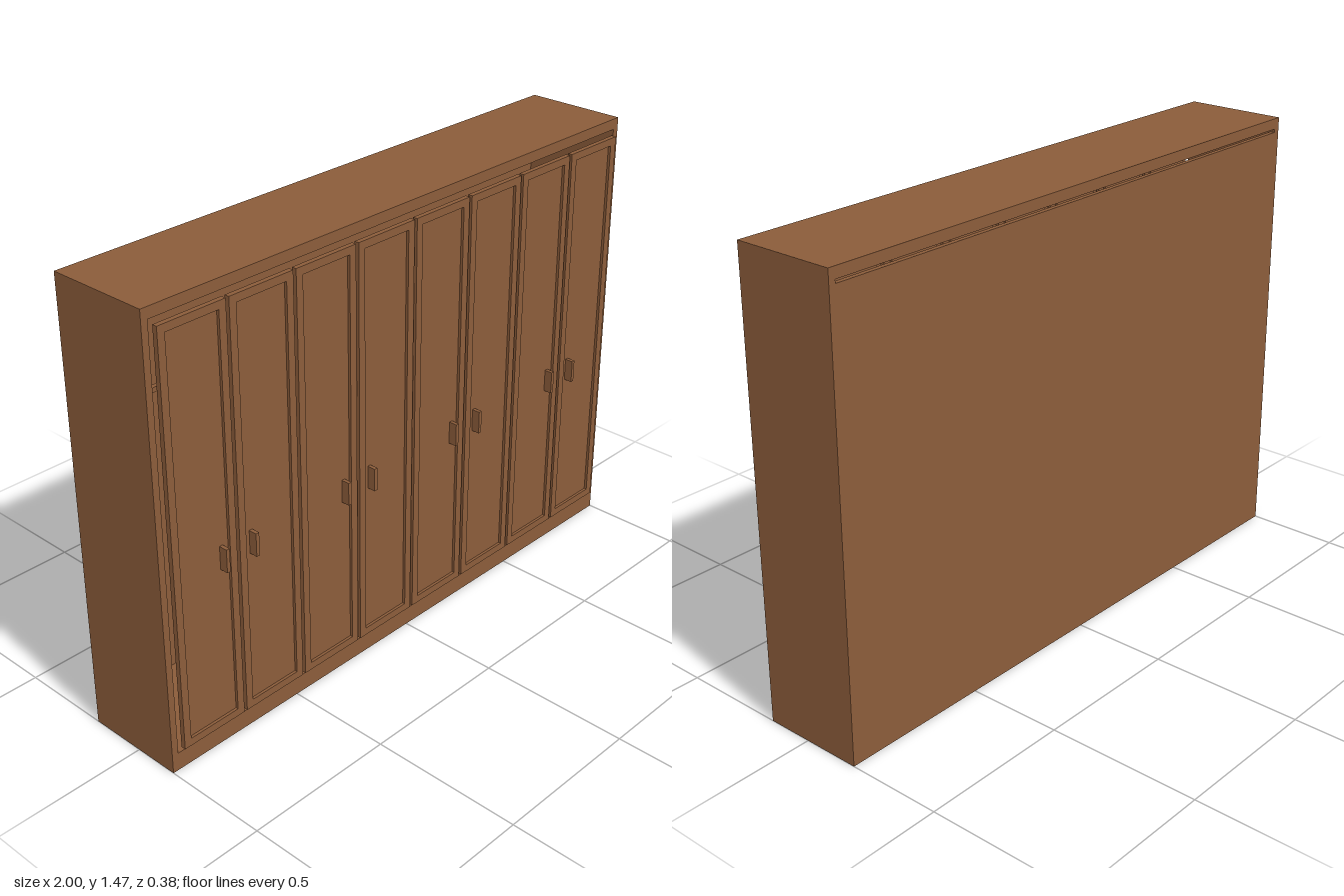
import * as THREE from 'three';

const wood = new THREE.MeshStandardMaterial({ color: 0x8b5c3a });
wood.name = 'brown wood';

function add(parent, name, geometry, x, y, z) {
  const mesh = new THREE.Mesh(geometry, wood);
  mesh.name = name;
  mesh.position.set(x, y, z);
  parent.add(mesh);
}

// Box given by its lower and upper y, and back and front z
function board(parent, name, x, width, y0, y1, z0, z1) {
  add(parent, name, new THREE.BoxGeometry(width, y1 - y0, z1 - z0), x, (y0 + y1) / 2, (z0 + z1) / 2);
}

function rectangle(path, x0, x1, y0, y1) {
  path.moveTo(x0, y0);
  path.lineTo(x1, y0);
  path.lineTo(x1, y1);
  path.lineTo(x0, y1);
  path.closePath();
  return path;
}

// Rectangular ring extruded along z
function ring(outer, inner, depth) {
  const shape = rectangle(new THREE.Shape(), ...outer);
  shape.holes.push(rectangle(new THREE.Path(), ...inner));
  return new THREE.ExtrudeGeometry(shape, { depth, bevelEnabled: false });
}

export function createModel() {
  const wardrobe = new THREE.Group();
  wardrobe.name = 'wardrobe';

  // Carcass: sides, top and plinth, with a back panel that stops short of the top
  add(wardrobe, 'carcass', ring([-1, 1, 0, 1.47], [-0.978, 0.978, 0.06, 1.435], 0.342), 0, 0, -0.19);
  board(wardrobe, 'backPanel', 0, 1.956, 0.06, 1.424, -0.19, -0.175);
  board(wardrobe, 'hangingRail', 0, 1.956, 1.117, 1.132, -0.03, -0.015);

  // Eight framed doors; each pair has its handles near the shared edge
  const pitch = 0.243, half = 0.116, bottom = 0.078, top = 1.418, inset = 0.025;
  for (let i = 0; i < 8; i++) {
    const door = new THREE.Group();
    door.name = 'door';
    door.position.x = (i - 3.5) * pitch;
    wardrobe.add(door);
    const frame = ring([-half, half, bottom, top],
      [-half + inset, half - inset, bottom + inset, top - inset], 0.016);
    add(door, 'doorFrame', frame, 0, 0, 0.155);
    board(door, 'doorPanel', 0, 2 * (half - inset), bottom + inset, top - inset, 0.148, 0.162);
    const side = i % 2 === 0 ? 1 : -1;
    board(door, 'handle', side * (pitch / 2 - 0.056), 0.012, 0.605, 0.681, 0.162, 0.19);
  }
  return wardrobe;
}
